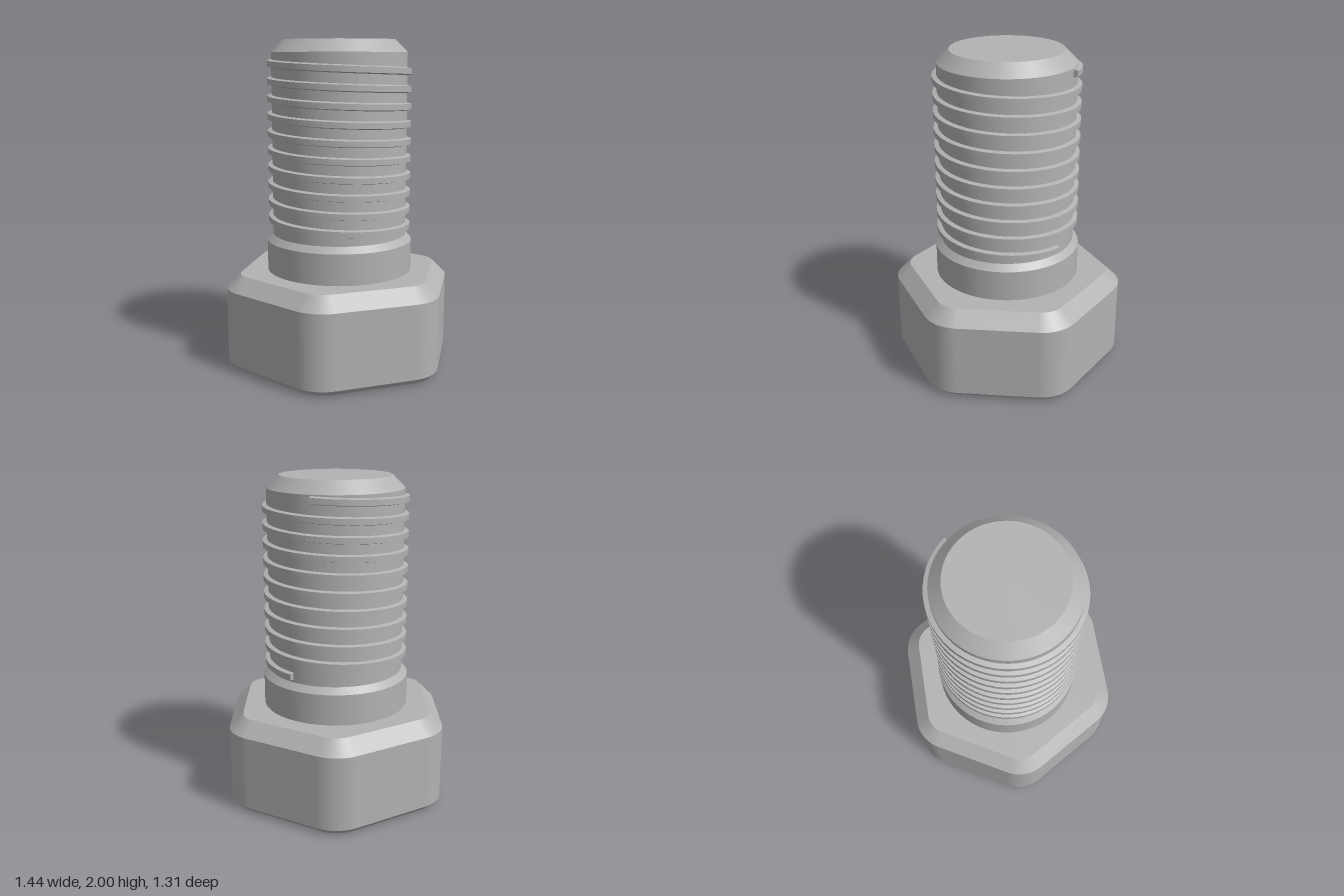
import * as THREE from 'three';

const steel = new THREE.MeshStandardMaterial({ color: 0xb2b2b2 });
steel.name = 'steel grey';

// Outline made of arcs around `corners` core points; one corner with no core is a circle.
function outline(corners, steps) {
  const list = [];
  for (let c = 0; c < corners; c++) {
    const mid = (c / corners) * Math.PI * 2;
    for (let s = 0; s <= steps; s++) {
      list.push({ mid, dir: mid + (s / steps - 0.5) * (Math.PI * 2 / corners) });
    }
  }
  return list;
}

// Skins a profile of [core distance, radius, y] around an outline, with sharp edges between bands.
function skin(name, ring, profile) {
  const pos = [], nor = [], idx = [], n = ring.length;
  for (let p = 0; p < profile.length - 1; p++) {
    const [lo, hi] = [profile[p], profile[p + 1]];
    const dr = hi[0] + hi[1] - lo[0] - lo[1], dy = hi[2] - lo[2], len = Math.hypot(dr, dy);
    const base = pos.length / 3;
    for (const [core, r, y] of [lo, hi]) {
      for (const { mid, dir } of ring) {
        pos.push(core * Math.cos(mid) + r * Math.cos(dir), y, core * Math.sin(mid) + r * Math.sin(dir));
        nor.push(Math.cos(dir) * dy / len, -dr / len, Math.sin(dir) * dy / len);
      }
    }
    for (let i = 0; i < n; i++) {
      const a = base + i, b = base + (i + 1) % n;
      idx.push(a, a + n, b, b, a + n, b + n);
    }
  }
  return makeMesh(name, pos, idx, nor);
}

function makeMesh(name, pos, idx, nor) {
  const g = new THREE.BufferGeometry();
  g.setAttribute('position', new THREE.Float32BufferAttribute(pos, 3));
  g.setIndex(idx);
  if (nor) g.setAttribute('normal', new THREE.Float32BufferAttribute(nor, 3));
  else g.computeVertexNormals();
  const mesh = new THREE.Mesh(g, steel);
  mesh.name = name;
  return mesh;
}

// Helical ridge with a trapezoid section, descending from the tip
function makeThread() {
  const start = THREE.MathUtils.degToRad(130), turns = 9.95, pitch = 0.1055, top = 1.895;
  const section = [[0.405, -0.026], [0.442, -0.017], [0.442, 0.017], [0.405, 0.026]];
  const steps = 560, pos = [], idx = [];
  const point = ([r, dy], t) => {
    const a = start + t * turns * Math.PI * 2;
    return [r * Math.sin(a), top - t * turns * pitch + dy, r * Math.cos(a)];
  };
  for (let s = 0; s < 3; s++) {
    const base = pos.length / 3;
    for (let i = 0; i <= steps; i++) {
      pos.push(...point(section[s], i / steps), ...point(section[s + 1], i / steps));
      if (i < steps) {
        const a = base + i * 2;
        idx.push(a, a + 2, a + 1, a + 1, a + 2, a + 3);
      }
    }
  }
  // Flat ends
  for (const t of [0, 1]) {
    const b = pos.length / 3;
    section.forEach((p) => pos.push(...point(p, t)));
    if (t === 0) idx.push(b, b + 1, b + 2, b, b + 2, b + 3);
    else idx.push(b, b + 2, b + 1, b, b + 3, b + 2);
  }
  return makeMesh('thread', pos, idx);
}

export function createModel() {
  const bolt = new THREE.Group();
  bolt.name = 'hexBolt';

  // Hexagonal head with rounded corners and chamfered rims
  const core = 0.491;
  bolt.add(skin('head', outline(6, 10), [
    [0, 0, 0], [core, 0.194, 0], [core, 0.23, 0.036],
    [core, 0.23, 0.495], [core, 0.145, 0.58], [0, 0, 0.58],
  ]));

  // Round collar and shank
  const circle = outline(1, 72);
  bolt.add(skin('collar', circle, [[0, 0.452, 0.575], [0, 0.452, 0.77], [0, 0.415, 0.807]]));
  bolt.add(skin('shank', circle, [[0, 0.415, 0.805], [0, 0.415, 1.925], [0, 0.34, 2], [0, 0, 2]]));

  bolt.add(makeThread());
  return bolt;
}
